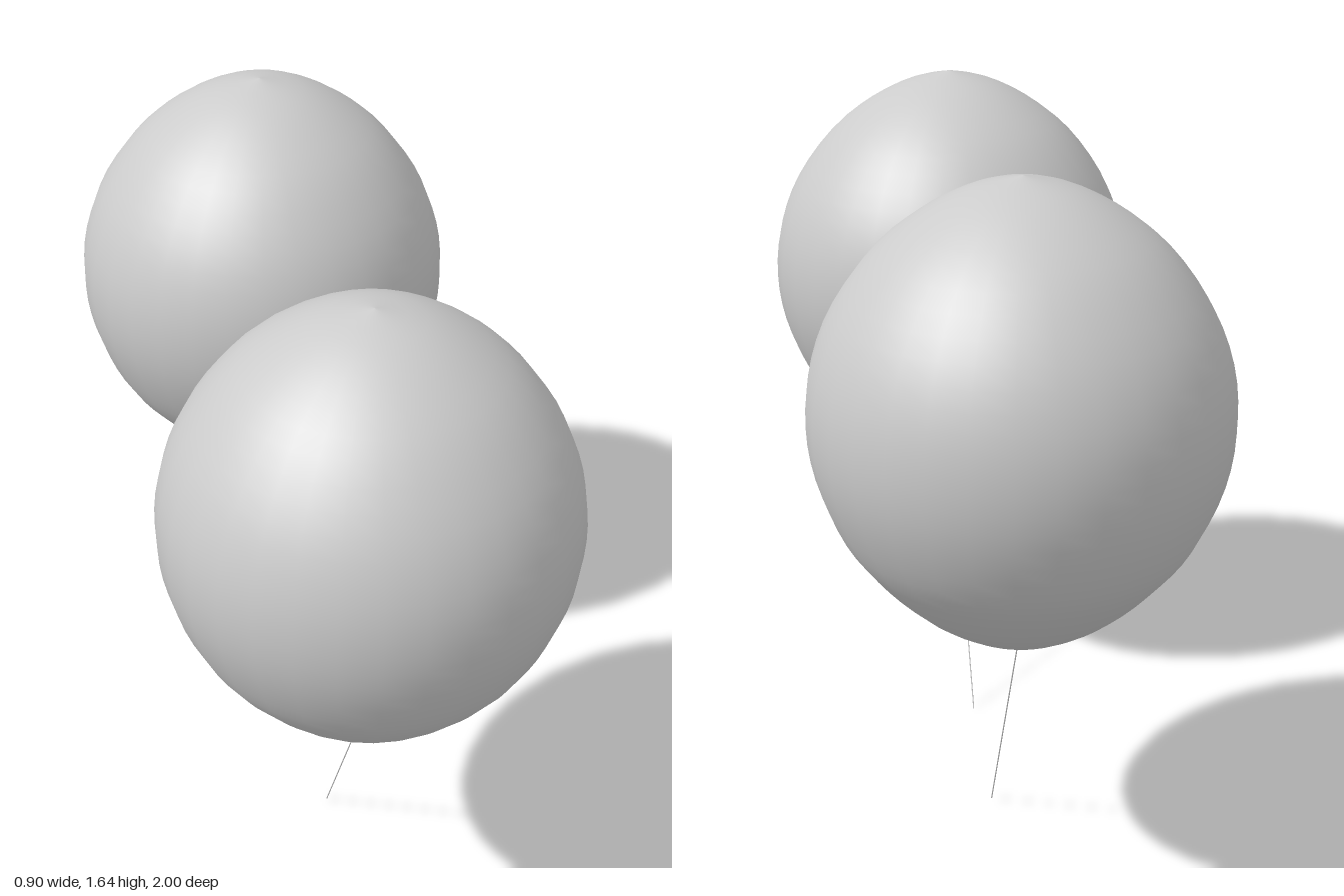
import * as THREE from 'three';

const material = new THREE.MeshStandardMaterial({ color: 0xcccccc });

// Half outline of the balloon, from knot to crown: [radius, height]
const outline = [
  [0, 0.588], [0.06, 0.615], [0.14, 0.653], [0.23, 0.712], [0.32, 0.8], [0.385, 0.89],
  [0.433, 1.01], [0.45, 1.13], [0.437, 1.25], [0.39, 1.37], [0.304, 1.487],
  [0.204, 1.567], [0.104, 1.617], [0, 1.642],
].map(([r, y]) => new THREE.Vector2(r, y));

function makeBalloon() {
  const points = new THREE.SplineCurve(outline).getPoints(39);
  points.forEach((p) => { p.x = Math.max(p.x, 0); });
  const mesh = new THREE.Mesh(new THREE.LatheGeometry(points, 32), material);
  mesh.name = 'balloon';
  mesh.position.z = 0.55;
  return mesh;
}

// Thin straight string, slanting inward from the knot to the ground
function makeString() {
  const top = new THREE.Vector3(-0.004, 0.592, 0.55);
  const bottom = new THREE.Vector3(-0.01, 0.001, 0.222);
  const path = new THREE.LineCurve3(bottom, top);
  const mesh = new THREE.Mesh(new THREE.TubeGeometry(path, 1, 0.0015, 6), material);
  mesh.name = 'string';
  return mesh;
}

export function createModel() {
  const model = new THREE.Group();
  model.name = 'balloonPair';

  // The back balloon is the front one turned half way round
  ['frontBalloon', 'backBalloon'].forEach((name, i) => {
    const group = new THREE.Group();
    group.name = name;
    group.add(makeBalloon(), makeString());
    group.rotation.y = i * Math.PI;
    model.add(group);
  });
  return model;
}
